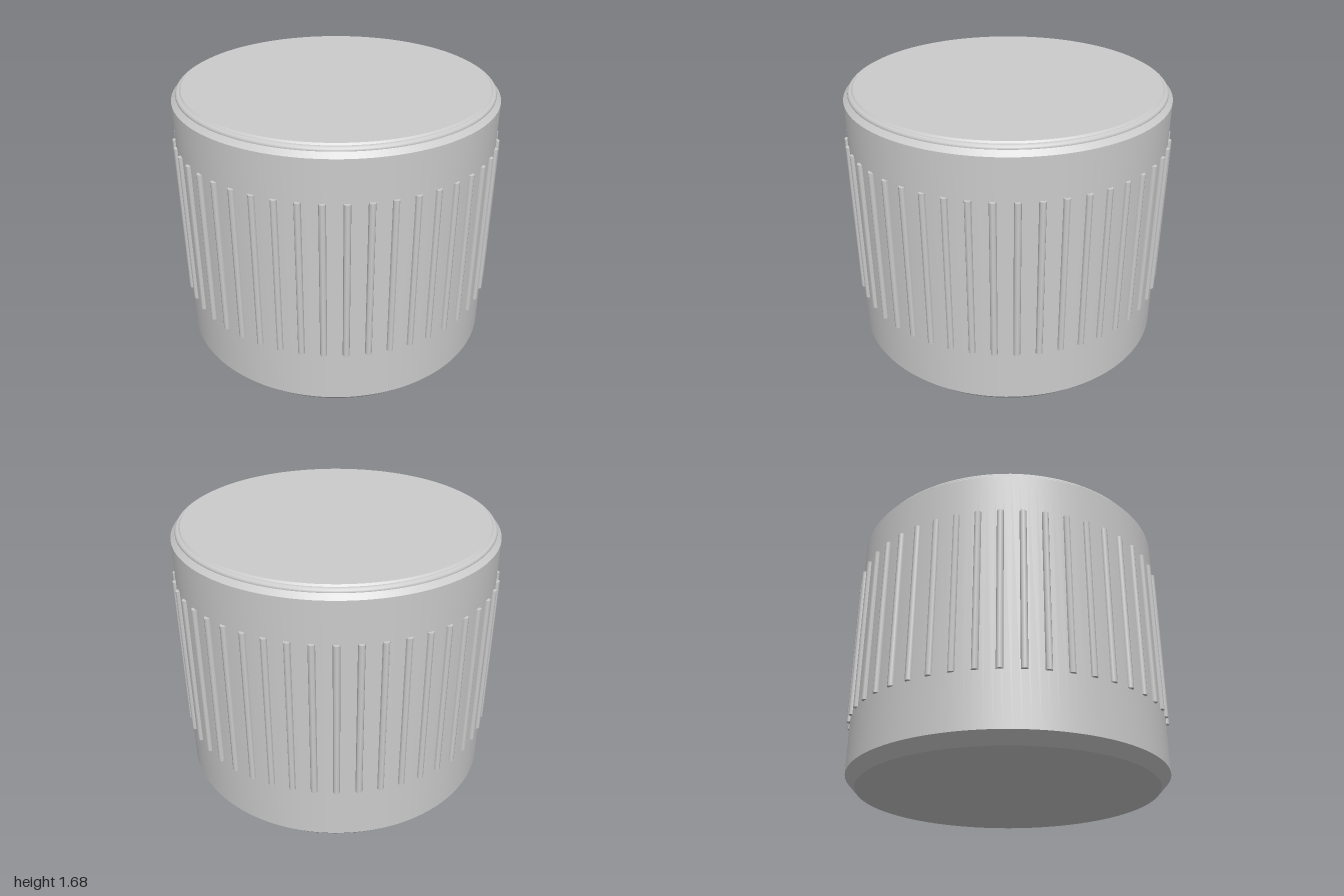
import * as THREE from 'three';
import { toCreasedNormals } from 'three/addons/utils/BufferGeometryUtils.js';

const RADIUS = 0.98;
const HEIGHT = 1.685;
const BEVEL = 0.06;
const RIB_COUNT = 48;
const RIB_BOTTOM = 0.39;
const RIB_TOP = 1.375;

export function createModel() {
  const model = new THREE.Group();
  model.name = 'ribbedCap';
  const material = new THREE.MeshStandardMaterial({ color: 0xcccccc });

  const add = (name, geometry, parent = model) => {
    const mesh = new THREE.Mesh(geometry, material);
    mesh.name = name;
    parent.add(mesh);
    return mesh;
  };

  // Closed body, chamfered at both ends
  const profile = [
    [0, 0],
    [RADIUS - BEVEL, 0],
    [RADIUS, BEVEL + 0.005],
    [RADIUS, HEIGHT - BEVEL],
    [RADIUS - BEVEL, HEIGHT],
    [0, HEIGHT],
  ].map(([x, y]) => new THREE.Vector2(x, y));
  add('body', toCreasedNormals(new THREE.LatheGeometry(profile, 128), 0.5));

  // Slim rounded bead along the top chamfer
  const bead = add('rimBead', new THREE.TorusGeometry(0.932, 0.021, 12, 128));
  bead.rotation.x = Math.PI / 2;
  bead.position.y = HEIGHT - 0.03;

  // Grip ribs, half sunk into the wall
  const ribs = new THREE.Group();
  ribs.name = 'gripRibs';
  model.add(ribs);
  const ribGeometry = new THREE.CylinderGeometry(0.02, 0.02, RIB_TOP - RIB_BOTTOM, 8);
  for (let i = 0; i < RIB_COUNT; i++) {
    const angle = (i / RIB_COUNT) * Math.PI * 2;
    const rib = add('gripRib', ribGeometry, ribs);
    rib.position.set(Math.sin(angle) * RADIUS, (RIB_TOP + RIB_BOTTOM) / 2, Math.cos(angle) * RADIUS);
    rib.rotation.y = angle;
  }

  return model;
}
